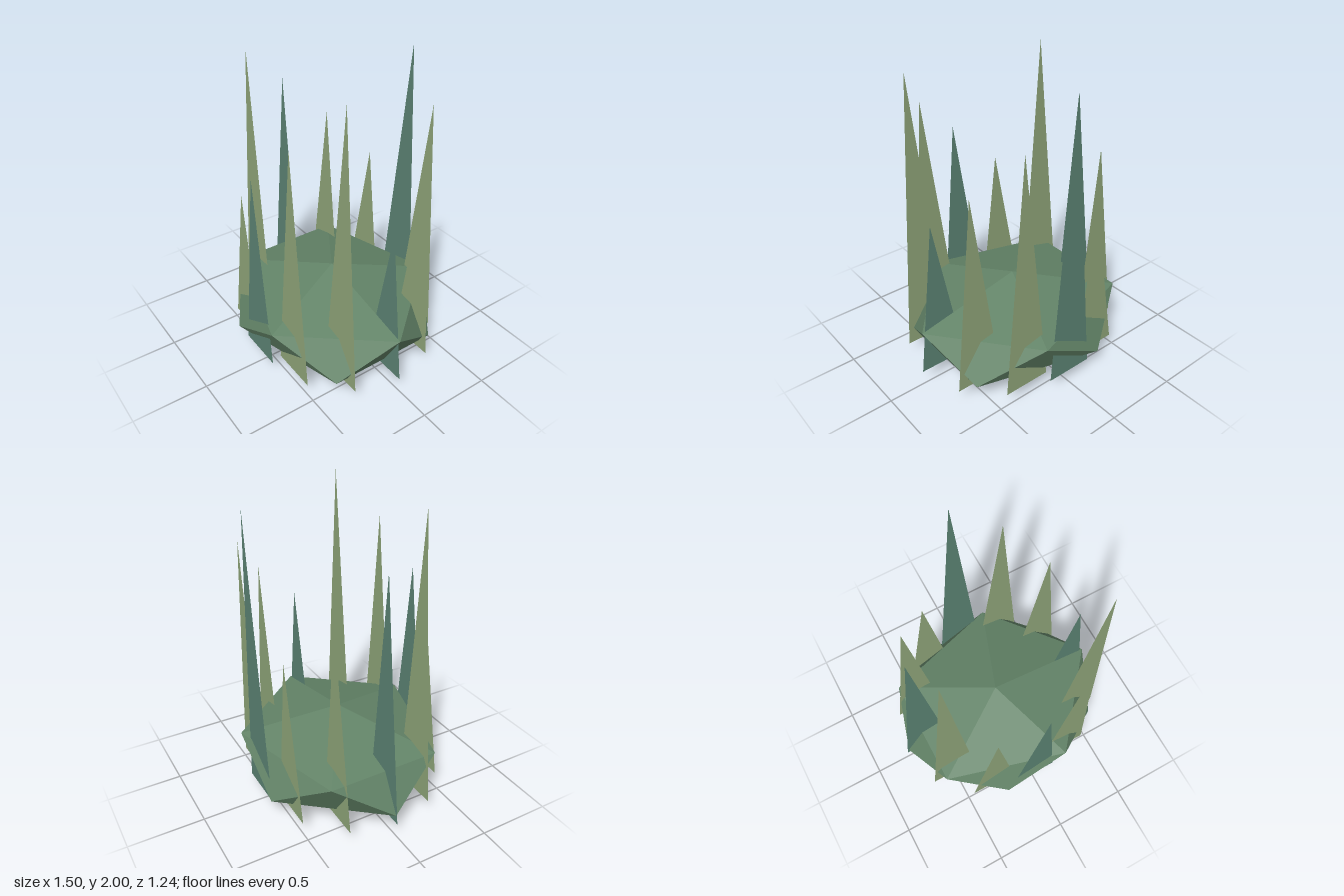
import * as THREE from 'three';

// Upright flat blade with its tip leaning slightly to +x
function bladeGeometry(halfWidth, height, lean) {
  const shape = new THREE.Shape();
  shape.moveTo(-halfWidth, 0);
  shape.lineTo(halfWidth, 0);
  shape.lineTo(lean, height);
  shape.closePath();
  return new THREE.ShapeGeometry(shape);
}

export function createModel() {
  const model = new THREE.Group();
  model.name = 'grassTuft';

  // Squashed icosahedron standing on one of its corners
  const golden = (1 + Math.sqrt(5)) / 2;
  const moundGeometry = new THREE.IcosahedronGeometry(1, 0);
  moundGeometry.rotateZ(-Math.atan(1 / golden));
  moundGeometry.scale(0.82, 0.2825, 0.727);
  moundGeometry.translate(0, 0.2825, 0);
  moundGeometry.computeVertexNormals();
  const mound = new THREE.Mesh(
    moundGeometry,
    new THREE.MeshStandardMaterial({ color: 0x638468, flatShading: true })
  );
  mound.name = 'mound';
  model.add(mound);

  // Ring of twelve blades, all facing front, in four heights and two colours
  const olive = new THREE.MeshStandardMaterial({ color: 0x90a67a, side: THREE.DoubleSide });
  const teal = new THREE.MeshStandardMaterial({ color: 0x5c8474, side: THREE.DoubleSide });
  const blades = new THREE.Group();
  blades.name = 'blades';
  const count = 12, radius = 0.587, baseY = 0.1;
  for (let i = 0; i < count; i++) {
    const angle = (i / count) * Math.PI * 2;
    const height = 1.054 + (i % 4) * 0.282;
    const blade = new THREE.Mesh(bladeGeometry(0.163, height, 0.035), i % 3 === 0 ? teal : olive);
    blade.name = `blade${i + 1}`;
    blade.position.set(radius * Math.cos(angle), baseY, -radius * Math.sin(angle));
    blades.add(blade);
  }
  model.add(blades);

  return model;
}
